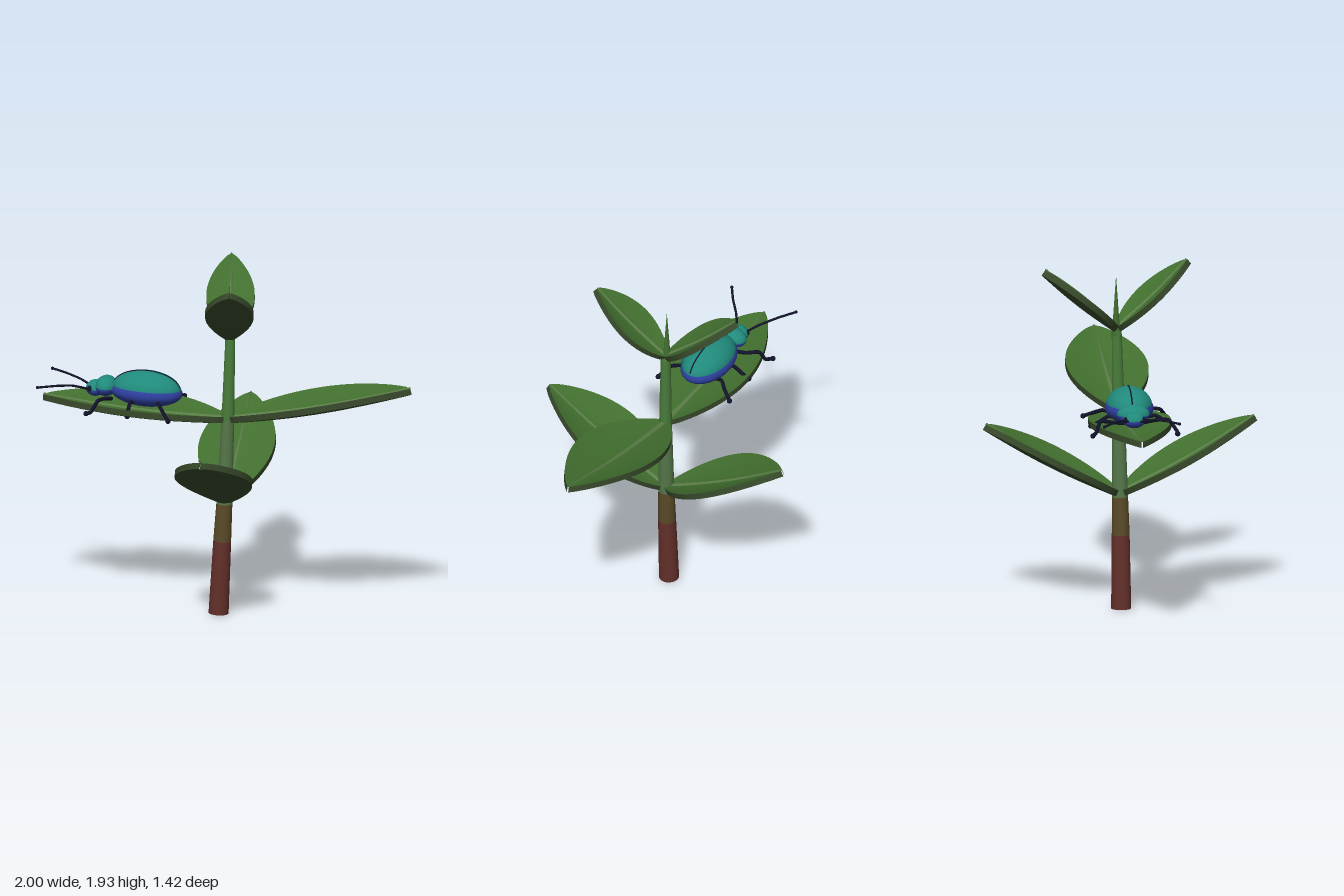
import * as THREE from 'three';
import { mergeGeometries } from 'three/addons/utils/BufferGeometryUtils.js';

const mat = (name, color, side = THREE.FrontSide) => {
  const m = new THREE.MeshStandardMaterial({ color, side });
  m.name = name;
  return m;
};
const V = (x, y, z) => new THREE.Vector3(x, y, z);

// Smooth grid surface from a rule f(t, v), t and v in 0..1
function sheet(f, nt, nv) {
  const pos = [], index = [];
  for (let i = 0; i <= nt; i++)
    for (let j = 0; j <= nv; j++) pos.push(...f(i / nt, j / nv).toArray());
  for (let i = 0; i < nt; i++)
    for (let j = 0; j < nv; j++) {
      const a = i * (nv + 1) + j, b = a + nv + 1;
      index.push(a, b, b + 1, a, b + 1, a + 1);
    }
  const g = new THREE.BufferGeometry();
  g.setAttribute('position', new THREE.Float32BufferAttribute(pos, 3));
  g.setIndex(index);
  g.computeVertexNormals();
  return g;
}

export function createModel() {
  const root = new THREE.Group();
  const bark = mat('red bark', 0x63302a);
  const olive = mat('olive bark', 0x5a4a28);
  const paleStem = mat('pale stem green', 0x55764a);
  const stemGreen = mat('stem green', 0x497c3a);
  const leafTop = mat('leaf green', 0x42702f);
  const leafUnder = mat('leaf underside green', 0x384a2b);
  const rib = mat('leaf rib green', 0x5a7d47, THREE.DoubleSide);
  const teal = mat('beetle teal', 0x208a7c);
  const blue = mat('beetle blue', 0x2e3f9e);
  const black = mat('beetle black', 0x12122a);

  const add = (parent, name, geometry, material) => {
    const m = new THREE.Mesh(geometry, material);
    m.name = name;
    parent.add(m);
    return m;
  };

  // Stem: tapered segments, each [x, y, z, radius, colour of the part above]
  const stem = new THREE.Group();
  stem.name = 'stem';
  root.add(stem);
  const joints = [
    [-0.01, 0, 0.015, 0.055, bark], [0.009, 0.41, 0.008, 0.049, olive],
    [0.019, 0.62, 0.002, 0.044, paleStem], [0.034, 1.09, -0.01, 0.035, stemGreen],
    [0.042, 1.55, -0.022, 0.027],
  ];
  for (let i = 0; i < joints.length - 1; i++) {
    const [x0, y0, z0, r0, material] = joints[i], [x1, y1, z1, r1] = joints[i + 1];
    const a = V(x0, y0, z0), b = V(x1, y1, z1), d = b.clone().sub(a);
    const m = add(stem, 'stemSegment', new THREE.CylinderGeometry(r1, r0, d.length(), 20), material);
    m.position.copy(a).add(b).multiplyScalar(0.5);
    m.quaternion.setFromUnitVectors(V(0, 1, 0), d.normalize());
  }
  const bud = add(stem, 'bud', new THREE.ConeGeometry(0.024, 0.34, 12), leafTop);
  bud.position.set(0.036, 1.69, -0.024);

  // Leaf: cupped blade with thickness, green above and darker below, plus a midrib
  function leaf(base, tip, half) {
    const u = tip.clone().sub(base), length = u.length();
    u.normalize();
    const n = V(0, 1, 0).cross(u).normalize(), up = u.clone().cross(n);
    const thick = 0.034;
    const width = t => half * Math.pow(Math.max(Math.sin(Math.PI * Math.pow(t, 0.94)), 0), 0.8) + 0.004;
    const at = (t, across, height) => base.clone()
      .addScaledVector(u, t * length).addScaledVector(n, across).addScaledVector(up, height);
    const point = (t, s, h) => {
      const w = width(t);
      const cup = 0.24 * w * Math.pow(Math.abs(s), 1.5) - 0.09 * half * Math.sin(Math.PI * t);
      return at(t, s * w, cup + h * thick);
    };
    const top = sheet((t, v) => point(t, 2 * v - 1, 0.5), 32, 12);
    const under = mergeGeometries([
      sheet((t, v) => point(t, 1 - 2 * v, -0.5), 32, 12),
      sheet((t, v) => point(t, 1, 0.5 - v), 32, 1),
      sheet((t, v) => point(t, -1, v - 0.5), 32, 1),
      sheet((t, v) => point(1, 2 * v - 1, t - 0.5).addScaledVector(u, 0.001), 1, 2),
    ]);
    const g = new THREE.Group();
    g.name = 'leaf';
    add(g, 'blade', mergeGeometries([top, under], true), [leafTop, leafUnder]);
    add(g, 'midrib', sheet((t, v) => {
      const s = 2 * v - 1;
      const q = 0.014 * (1 - t) + 0.003;
      return point(t, 0, 0.5).addScaledVector(n, s * q).addScaledVector(up, 0.001 + 0.009 * (1 - s * s));
    }, 24, 4), rib);
    root.add(g);
  }
  leaf(V(0.02, 0.63, 0.0), V(0.29, 1.035, 0.70), 0.205);
  leaf(V(0.02, 0.63, 0.0), V(-0.235, 1.035, -0.70), 0.205);
  leaf(V(0.034, 1.09, -0.01), V(0.99, 1.305, -0.362), 0.22);
  leaf(V(0.034, 1.09, -0.01), V(-0.93, 1.165, 0.34), 0.22);
  leaf(V(0.04, 1.55, -0.02), V(0.25, 1.905, 0.335), 0.128);
  leaf(V(0.04, 1.55, -0.02), V(-0.17, 1.905, -0.385), 0.128);

  // Beetle body, facing its own -x
  const beetle = new THREE.Group();
  beetle.name = 'beetle';
  root.add(beetle);
  const body = new THREE.Group();
  body.name = 'beetleBody';
  body.position.set(-0.39, 1.235, 0.145);
  body.rotation.set(0, 0.32, -0.05, 'YXZ');
  beetle.add(body);
  const blob = (name, material, p, s, from = 0, span = Math.PI) => {
    const m = add(body, name, new THREE.SphereGeometry(1, 32, 20, 0, Math.PI * 2, from, span), material);
    m.position.set(...p);
    m.scale.set(...s);
  };
  const H = Math.PI / 2;
  blob('abdomen', blue, [0, -0.005, 0], [0.2, 0.078, 0.133]);
  blob('wingCases', teal, [0, 0.005, 0], [0.192, 0.106, 0.126], 0, H);
  blob('thoraxTop', teal, [-0.225, 0.0, 0], [0.06, 0.058, 0.09], 0, H);
  blob('thoraxUnder', blue, [-0.225, 0.0, 0], [0.06, 0.052, 0.09], H, H);
  blob('headTop', teal, [-0.285, -0.018, 0], [0.052, 0.046, 0.06], 0, H);
  blob('headUnder', blue, [-0.285, -0.018, 0], [0.052, 0.042, 0.06], H, H);
  for (const side of [-1, 1]) blob('eye', black, [-0.305, -0.012, side * 0.047], [0.017, 0.017, 0.014]);

  // Dark seam between the wing cases
  const seam = [];
  for (let i = 0; i <= 12; i++) {
    const a = 0.25 + (i / 12) * (Math.PI - 0.45);
    seam.push(V(0.192 * Math.cos(a), 0.005 + 0.107 * Math.sin(a), 0));
  }
  add(body, 'wingSeam', new THREE.TubeGeometry(new THREE.CatmullRomCurve3(seam), 32, 0.004, 6), black);

  // Legs and feelers: thin tubes with a rounded end
  const limb = (name, r, points) => {
    const pts = points.map(p => V(...p));
    add(beetle, name, new THREE.TubeGeometry(new THREE.CatmullRomCurve3(pts, false, 'catmullrom', 0.2), 20, r, 8), black);
    const end = add(beetle, name + 'Tip', new THREE.SphereGeometry(r * 1.4, 10, 8), black);
    end.position.copy(pts[pts.length - 1]);
  };
  limb('frontLeg', 0.0105, [[-0.58, 1.19, 0.16], [-0.61, 1.2, 0.1], [-0.66, 1.215, 0.045], [-0.69, 1.16, 0.03], [-0.735, 1.15, 0.02]]);
  limb('middleLeg', 0.0105, [[-0.46, 1.19, 0.11], [-0.485, 1.2, 0.05], [-0.505, 1.17, 0.0], [-0.52, 1.15, -0.04]]);
  limb('rearLeg', 0.0105, [[-0.345, 1.18, 0.06], [-0.355, 1.2, -0.01], [-0.335, 1.18, -0.06], [-0.315, 1.15, -0.13]]);
  limb('frontLeg', 0.0105, [[-0.55, 1.19, 0.25], [-0.545, 1.21, 0.33], [-0.545, 1.215, 0.4], [-0.56, 1.16, 0.45], [-0.585, 1.15, 0.46]]);
  limb('middleLeg', 0.0105, [[-0.42, 1.18, 0.22], [-0.405, 1.2, 0.29], [-0.39, 1.17, 0.34], [-0.38, 1.14, 0.365]]);
  limb('rearLeg', 0.0105, [[-0.3, 1.18, 0.18], [-0.26, 1.2, 0.235], [-0.215, 1.185, 0.28], [-0.16, 1.13, 0.3]]);
  limb('feeler', 0.0065, [[-0.69, 1.23, 0.215], [-0.78, 1.255, 0.193], [-0.89, 1.268, 0.167], [-0.992, 1.272, 0.142]]);
  limb('feeler', 0.0065, [[-0.685, 1.23, 0.27], [-0.74, 1.26, 0.35], [-0.79, 1.272, 0.44], [-0.852, 1.275, 0.53]]);

  return root;
}
